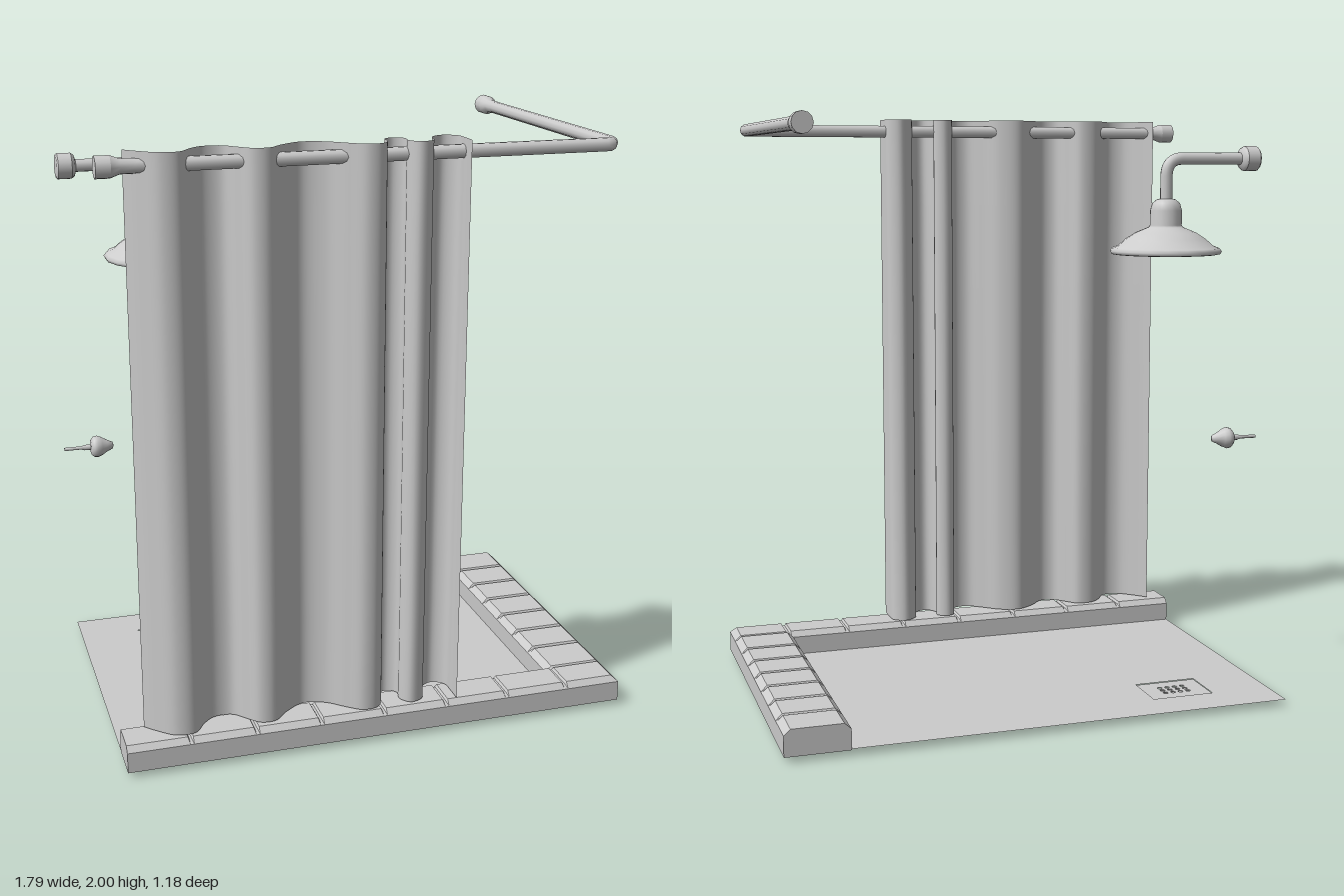
import * as THREE from 'three';

const grey = new THREE.MeshStandardMaterial({ color: 0xcccccc });
const flat = new THREE.MeshStandardMaterial({ color: 0xcccccc, flatShading: true, side: THREE.DoubleSide });
const thin = new THREE.MeshStandardMaterial({ color: 0xcccccc, side: THREE.DoubleSide });

function add(parent, name, geometry, material, x = 0, y = 0, z = 0) {
  const mesh = new THREE.Mesh(geometry, material);
  mesh.name = name;
  mesh.position.set(x, y, z);
  parent.add(mesh);
  return mesh;
}

const lathe = (points, sides) =>
  new THREE.LatheGeometry(points.map(([r, y]) => new THREE.Vector2(r, y)), sides);

// Pipe along straight legs joined by rounded elbows
function pipe(points, bend, radius, sides) {
  const p = points.map(q => new THREE.Vector3(...q));
  const path = new THREE.CurvePath();
  let from = p[0];
  for (let i = 1; i < p.length - 1; i++) {
    const a = p[i].clone().add(p[i - 1].clone().sub(p[i]).setLength(bend));
    const b = p[i].clone().add(p[i + 1].clone().sub(p[i]).setLength(bend));
    path.add(new THREE.LineCurve3(from, a));
    path.add(new THREE.QuadraticBezierCurve3(a, p[i], b));
    from = b;
  }
  path.add(new THREE.LineCurve3(from, p[p.length - 1]));
  return new THREE.TubeGeometry(path, 120, radius, sides);
}

// Hollow bevelled curb running along x; stations are [x, drop of the top]
function curb(inner, outer, bevel, stations) {
  const pos = [], idx = [], n = 6;
  for (const [x, drop] of stations) {
    const section = [[outer, 0.02], [outer, 0.09], [outer - bevel, 0.11 - drop],
      [inner + bevel, 0.11 - drop], [inner, 0.09], [inner, 0.02]];
    for (const [z, y] of section) pos.push(x, y, z);
  }
  const last = (stations.length - 1) * n;
  for (let i = 0; i < last; i += n) {
    for (let j = 0; j < n - 1; j++) {
      const a = i + j, b = a + 1, c = a + n, d = c + 1;
      idx.push(a, c, b, b, c, d);
    }
  }
  for (let j = 1; j < n - 1; j++) idx.push(0, j, j + 1, last, last + j + 1, last + j);
  const g = new THREE.BufferGeometry();
  g.setAttribute('position', new THREE.Float32BufferAttribute(pos, 3));
  g.setIndex(idx);
  const out = g.toNonIndexed();
  out.computeVertexNormals();
  return out;
}

function grooves(start, step, count) {
  const list = [];
  for (let i = 0; i < count; i++) {
    const x = start + i * step;
    list.push([x - 0.009, 0], [x - 0.004, 0.009], [x + 0.004, 0.009], [x + 0.009, 0]);
  }
  return list;
}

function rectangle(shape, x0, y0, x1, y1) {
  shape.moveTo(x0, y0);
  shape.lineTo(x1, y0);
  shape.lineTo(x1, y1);
  shape.lineTo(x0, y1);
  shape.closePath();
  return shape;
}

function createTray() {
  const tray = new THREE.Group();
  tray.name = 'tray';

  // Thin floor with an opening for the drain (shape y becomes -z)
  const floor = rectangle(new THREE.Shape(), -0.84, -0.45, 0.68, 0.57);
  floor.holes.push(rectangle(new THREE.Path(), -0.63, 0.27, -0.41, 0.43));
  add(tray, 'floor', new THREE.ShapeGeometry(floor), thin, 0, 0.024, 0).rotation.x = -Math.PI / 2;

  // Curbs with tile joints across the top
  add(tray, 'frontCurb', curb(0.445, 0.588, 0.017,
    [[-0.84, 0], ...grooves(-0.63, 0.22, 7), [0.868, 0], [0.89, 0.02]]), flat);
  add(tray, 'sideCurb', curb(0.675, 0.89, 0.022,
    [[-0.462, 0.009], [-0.455, 0.009], [-0.448, 0], ...grooves(-0.295, 0.145, 6), [0.57, 0]]), flat)
    .rotation.y = Math.PI / 2;

  // Drain plate with round holes over a small sump
  const plate = rectangle(new THREE.Shape(), -0.11, -0.08, 0.11, 0.08);
  for (let row = -1; row <= 1; row++) {
    for (let col = 0; col < 4; col++) {
      const hole = new THREE.Path();
      hole.absarc((col - 1.5) * 0.028, row * 0.026, 0.009, 0, Math.PI * 2, true);
      plate.holes.push(hole);
    }
  }
  add(tray, 'drainPlate', new THREE.ExtrudeGeometry(plate, { depth: 0.003, bevelEnabled: false, curveSegments: 5 }),
    grey, -0.52, 0.019, -0.35).rotation.x = -Math.PI / 2;
  add(tray, 'drainSump', new THREE.BoxGeometry(0.105, 0.014, 0.075), grey, -0.52, 0.007, -0.348);
  return tray;
}

function createCurtain() {
  // Fold line seen from above as [x, z]
  const folds = [[-0.765, 0.475], [-0.73, 0.512], [-0.67, 0.56], [-0.61, 0.56], [-0.57, 0.508],
    [-0.53, 0.475], [-0.47, 0.475], [-0.43, 0.515], [-0.39, 0.555], [-0.34, 0.557], [-0.29, 0.508],
    [-0.22, 0.467], [-0.15, 0.485], [-0.09, 0.535], [-0.04, 0.57], [0.01, 0.565], [0.036, 0.525],
    [0.04, 0.48], [0.07, 0.463], [0.105, 0.485], [0.1, 0.53], [0.13, 0.565], [0.175, 0.548],
    [0.195, 0.48], [0.24, 0.45], [0.282, 0.475], [0.287, 0.525], [0.287, 0.583]];
  const curve = new THREE.CatmullRomCurve3(folds.map(([x, z]) => new THREE.Vector3(x, 0, z)), false, 'centripetal');
  const steps = 150;
  const points = curve.getSpacedPoints(steps);
  const g = new THREE.PlaneGeometry(1, 1.885, steps, 6);
  const p = g.attributes.position;
  for (let i = 0; i < p.count; i++) {
    const q = points[i % (steps + 1)];
    p.setXYZ(i, q.x, p.getY(i) + 1.0575, q.z);
  }
  g.computeVertexNormals();
  return g;
}

export function createModel() {
  const model = new THREE.Group();
  model.name = 'shower';
  model.add(createTray());
  add(model, 'curtain', createCurtain(), thin);

  // Corner curtain rod with a flared wall fitting at each end
  const rail = new THREE.Group();
  rail.name = 'curtainRail';
  model.add(rail);
  add(rail, 'rod', pipe([[-0.8, 1.957, 0.513], [0.8, 1.957, 0.513], [0.8, 1.957, -0.55]], 0.035, 0.022, 10), grey);
  const fitting = lathe([[0, 0], [0.034, 0], [0.034, 0], [0.034, 0.045], [0.034, 0.045],
    [0.023, 0.075], [0.023, 0.12]], 12);
  add(rail, 'leftFitting', fitting, thin, -0.853, 1.957, 0.513).rotation.z = -Math.PI / 2;
  add(rail, 'backFitting', fitting, thin, 0.8, 1.957, -0.597).rotation.x = Math.PI / 2;

  // Shower head, arm and wall flange
  const shower = new THREE.Group();
  shower.name = 'showerHead';
  model.add(shower);
  add(shower, 'dish', lathe([[0, 1.53], [0.18, 1.53], [0.18, 1.53], [0.189, 1.532], [0.194, 1.542], [0.186, 1.552],
    [0.165, 1.56], [0.14, 1.582], [0.105, 1.605], [0.06, 1.623], [0.055, 1.63], [0.055, 1.68], [0.048, 1.705],
    [0.032, 1.718], [0.022, 1.72]], 18), grey, -0.538, 0, -0.178);
  add(shower, 'arm', pipe([[-0.84, 1.857, -0.178], [-0.538, 1.857, -0.178], [-0.538, 1.7, -0.178]], 0.06, 0.021, 12), grey);
  add(shower, 'armFlange', lathe([[0, 0], [0.038, 0], [0.043, 0.005], [0.043, 0.005], [0.043, 0.05],
    [0.043, 0.05], [0.036, 0.06], [0.021, 0.065]], 16), grey, -0.88, 1.857, -0.178).rotation.z = -Math.PI / 2;

  // Tap knob on a thin spindle
  const tap = new THREE.Group();
  tap.name = 'tap';
  tap.position.set(-0.9, 0.872, -0.175);
  tap.rotation.z = -Math.PI / 2;
  model.add(tap);
  add(tap, 'spindle', lathe([[0, 0], [0.006, 0], [0.006, 0.06], [0.01, 0.07], [0.01, 0.1]], 8), grey);
  add(tap, 'knob', lathe([[0, 0.09], [0.025, 0.092], [0.036, 0.102], [0.038, 0.115], [0.032, 0.13],
    [0.02, 0.15], [0.012, 0.168], [0, 0.172]], 14), grey);

  return model;
}
